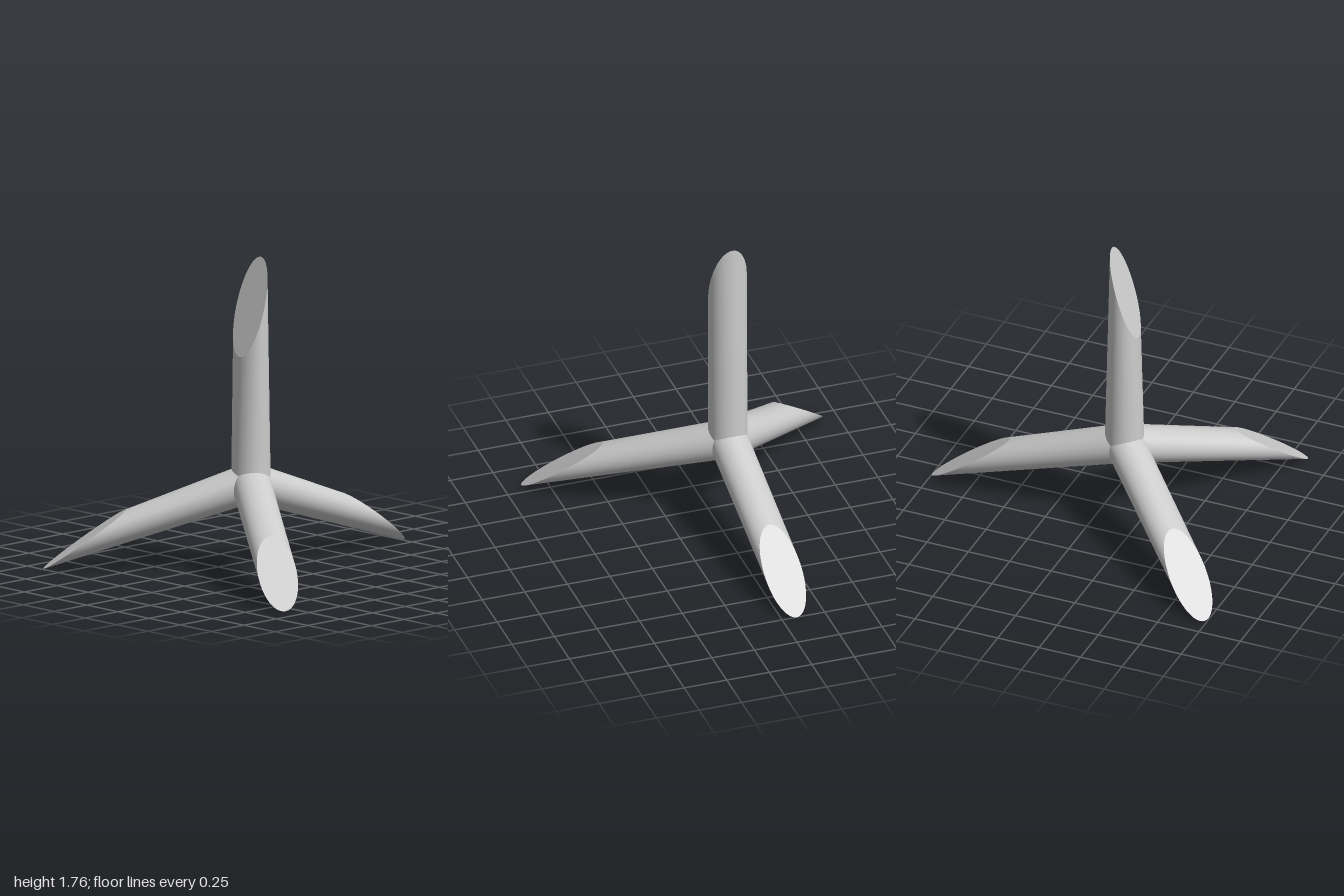
import * as THREE from 'three';

const RADIUS = 0.11;
const HUB = new THREE.Vector3(-0.085, 0.49, 0.158);
const CUT_DEPTH = 0.082; // half-height of the slanted tip across the leg
const CUT_RUN = 0.273;   // half-length of the slanted tip along the leg

// A tube along +y whose far end is a long slanted cut facing +z.
function spikeGeometry(length) {
  const geo = new THREE.CylinderGeometry(RADIUS, RADIUS, 1, 64, 1, false, Math.PI);
  geo.translate(0, 0.5, 0);
  const p = geo.attributes.position;
  for (let i = 0; i < p.count; i++) {
    if (p.getY(i) < 0.5) continue;
    const s = p.getZ(i) / RADIUS;
    p.setY(i, length - CUT_RUN * s);
    p.setZ(i, CUT_DEPTH * s);
  }
  geo.computeVertexNormals();
  return geo;
}

// Spike from the hub to the centre of its cut; the cut faces towards `facing`.
function makeSpike(name, end, facing, material) {
  const axis = new THREE.Vector3(...end).sub(HUB);
  const length = axis.length();
  axis.normalize();
  const side = new THREE.Vector3().crossVectors(axis, facing).normalize();
  const out = new THREE.Vector3().crossVectors(side, axis);
  const mesh = new THREE.Mesh(spikeGeometry(length), material);
  mesh.name = name;
  mesh.quaternion.setFromRotationMatrix(new THREE.Matrix4().makeBasis(side, axis, out));
  mesh.position.copy(HUB);
  return mesh;
}

export function createModel() {
  const group = new THREE.Group();
  group.name = 'caltrop';
  const material = new THREE.MeshStandardMaterial({ color: 0xcccccc });
  const up = new THREE.Vector3(0, 1, 0);
  const front = new THREE.Vector3(0, 0, 1);

  // Upright spike and three splayed legs meeting at the hub
  group.add(makeSpike('upperSpike', [-0.085, 1.485, 0.1625], front, material));
  group.add(makeSpike('backLeg', [-0.085, 0.1675, -0.77], up, material));
  group.add(makeSpike('leftLeg', [0.7, 0.1675, 0.705], up, material));
  group.add(makeSpike('rightLeg', [-0.728, 0.1675, 0.818], up, material));
  return group;
}
